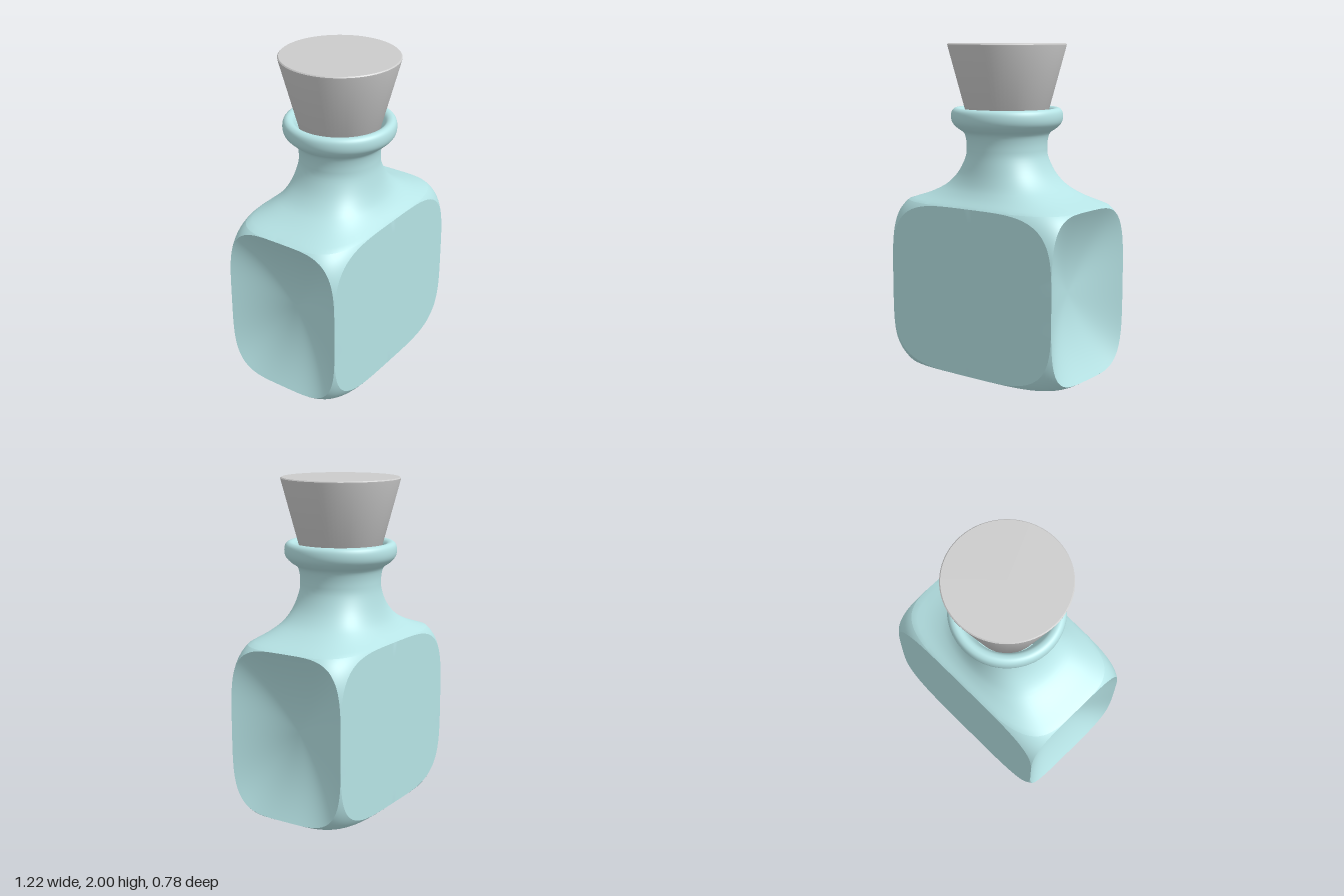
import * as THREE from 'three';
import { toCreasedNormals } from 'three/addons/utils/BufferGeometryUtils.js';

const HX = 0.608, HY = 0.515, HZ = 0.39; // half sizes of the square body
const N = 28;                            // steps per quarter turn
const DISH = 0.15;                       // depth of the hollow in each side

// Point on a unit superellipse (a rounded square) at angle t
function squircle(t) {
  const c = Math.cos(t), s = Math.sin(t), k = (c ** 4 + s ** 4) ** 0.25;
  return [c / k, s / k];
}

// Append a grid patch f(i/nu, j/nv), turned to face away from the body centre
function addPatch(out, nu, nv, f) {
  const tris = [];
  let facing = 0;
  const n = new THREE.Vector3();
  const mid = new THREE.Vector3(0, HY, 0);
  const tri = (a, b, c) => {
    n.subVectors(b, a).cross(new THREE.Vector3().subVectors(c, a));
    if (n.length() < 1e-10) return;
    facing += n.dot(a.clone().sub(mid));
    tris.push([a, b, c]);
  };
  const P = [];
  for (let i = 0; i <= nu; i++) {
    P.push([]);
    for (let j = 0; j <= nv; j++) P[i].push(new THREE.Vector3(...f(i / nu, j / nv)));
  }
  for (let i = 0; i < nu; i++) for (let j = 0; j < nv; j++) {
    tri(P[i][j], P[i + 1][j], P[i + 1][j + 1]);
    tri(P[i][j], P[i + 1][j + 1], P[i][j + 1]);
  }
  for (const [a, b, c] of tris) {
    for (const p of facing > 0 ? [a, b, c] : [a, c, b]) out.push(p.x, p.y, p.z);
  }
}

function bottleGeometry() {
  const out = [];
  const place = (u, v, w) => [u * HX, HY + v * HY, w * HZ];
  const turn = Math.PI * 2;

  // Flat front, back and base
  for (const s of [-1, 1]) {
    addPatch(out, 6, 4 * N, (r, t) => {
      const [a, b] = squircle(t * turn);
      return place(a * r, b * r, s);
    });
  }
  addPatch(out, 6, 4 * N, (r, t) => {
    const [a, b] = squircle(t * turn);
    return place(a * r, -1, b * r);
  });

  // Hollowed left and right sides
  for (const s of [-1, 1]) {
    addPatch(out, 20, 4 * N, (r, t) => {
      const [a, b] = squircle(t * turn);
      return place(s * (1 - (DISH / HX) * (1 - r * r)), a * r, b * r);
    });
  }

  // Eight softened corners, where u^4 + v^4 + w^4 = 2
  for (const sx of [-1, 1]) for (const sy of [-1, 1]) for (const sz of [-1, 1]) {
    addPatch(out, N, N, (i, j) => {
      const u = Math.abs(squircle(i * Math.PI / 2)[1]);
      const f = squircle(j * Math.PI / 2)[1] ** 4;
      const v = Math.max(0, 1 - u ** 4 * f) ** 0.25;
      const w = Math.max(0, 1 - u ** 4 * (1 - f)) ** 0.25;
      return place(sx * u, sy * v, sz * w);
    });
  }

  // Shoulder, neck and rolled lip: [blend towards body outline, neck radius, height]
  const profile = new THREE.CatmullRomCurve3([
    [1, 0.25, 1.03], [0.55, 0.25, 1.092], [0.28, 0.25, 1.155], [0.09, 0.25, 1.245],
    [0, 0.248, 1.34], [0, 0.25, 1.41], [0, 0.265, 1.46], [0, 0.305, 1.49],
    [0, 0.335, 1.523], [0, 0.343, 1.56], [0, 0.335, 1.597], [0, 0.313, 1.612],
    [0, 0.285, 1.605], [0, 0.262, 1.57], [0, 0.24, 1.51], [0, 0.215, 1.42], [0, 0.21, 1.33],
  ].map((p) => new THREE.Vector3(...p)));
  const rows = profile.getPoints(64);
  addPatch(out, 64, 4 * N, (i, t) => {
    const { x, y: r, z: h } = rows[Math.round(i * 64)];
    const b = THREE.MathUtils.clamp(x, 0, 1);
    const [a, c] = squircle(t * turn);
    const k = r * (1 - b);
    return [a * HX * b + Math.cos(t * turn) * k, h, c * HZ * b + Math.sin(t * turn) * k];
  });

  // Smooth normals, sharp face rims (enlarged so that close points stay apart)
  const g = new THREE.BufferGeometry();
  g.setAttribute('position', new THREE.Float32BufferAttribute(out, 3));
  g.scale(100, 100, 100);
  const creased = toCreasedNormals(g, 0.45);
  creased.scale(0.01, 0.01, 0.01);
  return creased;
}

export function createModel() {
  const group = new THREE.Group();
  group.name = 'stopperedBottle';

  const bottle = new THREE.Mesh(
    bottleGeometry(),
    new THREE.MeshStandardMaterial({ color: 0xb6e3e5, side: THREE.DoubleSide }),
  );
  bottle.name = 'bottle';
  group.add(bottle);

  // Tapered stopper with slightly eased rims
  const outline = [
    [0, 1.4], [0.198, 1.4], [0.205, 1.407], [0.361, 1.986], [0.362, 1.994], [0.356, 2], [0, 2],
  ].map(([r, y]) => new THREE.Vector2(r, y));
  const lathe = new THREE.LatheGeometry(outline, 72);
  lathe.scale(100, 100, 100);
  const stopperGeometry = toCreasedNormals(lathe, 0.6);
  stopperGeometry.scale(0.01, 0.01, 0.01);
  const stopper = new THREE.Mesh(
    stopperGeometry,
    new THREE.MeshStandardMaterial({ color: 0xcccccc }),
  );
  stopper.name = 'stopper';
  group.add(stopper);

  return group;
}
